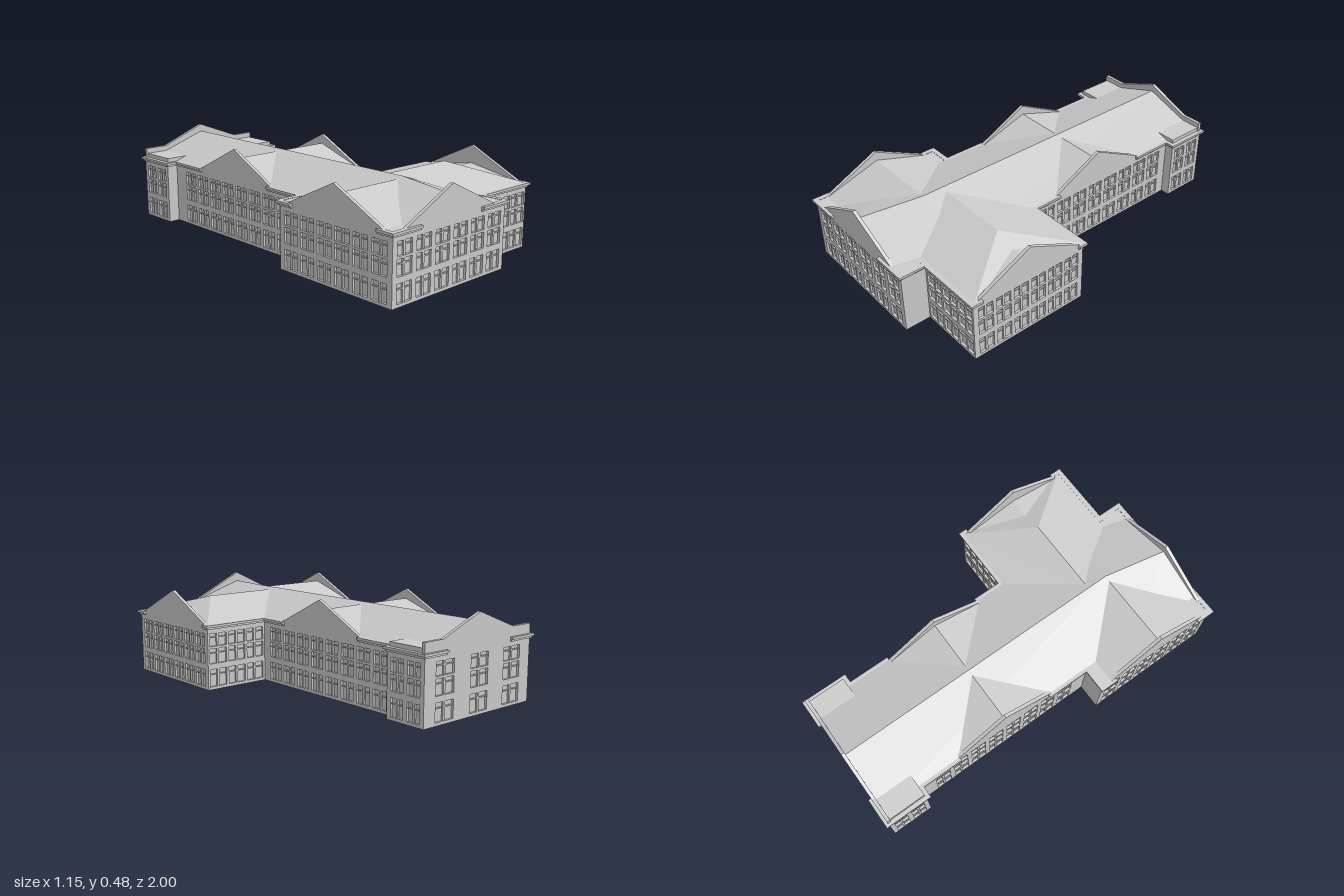
import * as THREE from 'three';
import { mergeGeometries } from 'three/addons/utils/BufferGeometryUtils.js';

const EAVE = 0.335, RIDGE = 0.43, MID = -0.115, DEPTH = 0.012;
const ROWS = [[0.015, 0.105], [0.135, 0.212], [0.224, 0.29]];
const material = new THREE.MeshStandardMaterial({ color: 0xcccccc, flatShading: true, side: THREE.DoubleSide });

const gable = (mid, half) => [[mid - half, EAVE], [mid, 0.48], [mid + half, EAVE]];

// Outline, anticlockwise from above. Each side runs from its own corner to the next one.
// cols/pitch/width: window columns; gap: break in the cornice; top: outline of the parapet gable
const SIDES = [
  { name: 'frontWall', x: -0.56, z: 0.984, cols: 6, pitch: 0.122, width: 0.093, gap: [0.17, 0.585], top: gable(0.38, 0.3) },
  { name: 'frontReturn', x: 0.2, z: 0.984 },
  { name: 'wingFrontWall', x: 0.2, z: 0.85, cols: 3, pitch: 0.117, width: 0.103 },
  { name: 'wingEndWall', x: 0.56, z: 0.85, cols: 6, pitch: 0.102, width: 0.082, gap: [0.05, 0.62], top: gable(0.33, 0.3) },
  { name: 'wingBackWall', x: 0.56, z: 0.2, cols: 3, pitch: 0.117, width: 0.103 },
  { name: 'leftSpineWall', x: 0.2, z: 0.2, cols: 8, pitch: 0.11, width: 0.085, gap: [0.17, 0.72], top: gable(0.44, 0.29) },
  { name: 'leftRearReturn', x: 0.2, z: -0.76 },
  { name: 'leftRearWall', x: 0.25, z: -0.76, cols: 2, pitch: 0.1, width: 0.075 },
  { name: 'backWall', x: 0.25, z: -0.984, cols: 3, pitch: 0.235, width: 0.12, gap: [0.14, 0.59],
    top: [[0, EAVE], [0, 0.385], [0.12, 0.385], [0.365, 0.48], [0.61, 0.385], [0.74, 0.385], [0.74, EAVE]] },
  { name: 'rightRearWall', x: -0.49, z: -0.984, cols: 2, pitch: 0.1, width: 0.075 },
  { name: 'rightRearReturn', x: -0.49, z: -0.76 },
  { name: 'rightSpineWall', x: -0.43, z: -0.76, cols: 8, pitch: 0.11, width: 0.085, gap: [0.24, 0.79], top: gable(0.52, 0.29) },
  { name: 'rightBlockReturn', x: -0.43, z: 0.275 },
  { name: 'rightBlockWall', x: -0.56, z: 0.275, cols: 6, pitch: 0.112, width: 0.088, gap: [0.085, 0.625], top: gable(0.355, 0.3) },
];

function add(parent, name, geometry) {
  const mesh = new THREE.Mesh(geometry, material);
  mesh.name = name;
  parent.add(mesh);
  return mesh;
}

// Box given by its limits
function box(x0, x1, y0, y1, z0, z1) {
  return new THREE.BoxGeometry(x1 - x0, y1 - y0, z1 - z0)
    .translate((x0 + x1) / 2, (y0 + y1) / 2, (z0 + z1) / 2);
}

function outline(points) {
  return new THREE.Shape(points.map(([x, y]) => new THREE.Vector2(x, y)));
}

// Flat polygons, each cut into a fan of triangles
function faces(polygons) {
  const positions = [];
  for (const p of polygons) {
    for (let i = 1; i < p.length - 1; i++) positions.push(...p[0], ...p[i], ...p[i + 1]);
  }
  const geometry = new THREE.BufferGeometry();
  geometry.setAttribute('position', new THREE.Float32BufferAttribute(positions, 3));
  geometry.computeVertexNormals();
  return geometry;
}

// Two slopes lofted between cross-sections of [eave, ridge, eave] points
function slopes(a, b) {
  return faces([[a[0], b[0], b[1], a[1]], [a[1], b[1], b[2], a[2]]]);
}

// Cross-section of a roof running along x or along z
const sectionX = (x, z, half, ridge = RIDGE) => [[x, EAVE, z + half], [x, ridge, z], [x, EAVE, z - half]];
const sectionZ = (z, x0, x, x1, ridge) => [[x0, EAVE, z], [x, ridge, z], [x1, EAVE, z]];

// One side: wall with recessed windows, cornice and parapet gable, built along local x facing +z
function buildSide(side, next) {
  const group = new THREE.Group();
  group.name = side.name;
  const dx = next.x - side.x, dz = next.z - side.z, length = Math.hypot(dx, dz);
  group.position.set(side.x, 0, side.z);
  group.rotation.y = Math.atan2(-dz, dx);

  const wall = outline([[0, 0], [length, 0], [length, EAVE], [0, EAVE]]);
  const bars = [];
  for (let c = 0; c < (side.cols || 0); c++) {
    const mid = length / 2 + (c - (side.cols - 1) / 2) * side.pitch;
    const x0 = mid - side.width / 2, x1 = mid + side.width / 2;
    for (const [y0, y1] of ROWS) {
      wall.holes.push(new THREE.Path([[x0, y0], [x0, y1], [x1, y1], [x1, y0]].map(([x, y]) => new THREE.Vector2(x, y))));
      const transom = y0 + (y1 - y0) * 0.7;
      bars.push(box(mid - 0.006, mid + 0.006, y0, y1, -DEPTH, -0.003));
      bars.push(box(x0, x1, transom - 0.003, transom + 0.003, -DEPTH, -0.005));
    }
  }
  add(group, 'wall', new THREE.ExtrudeGeometry(wall, { depth: DEPTH, bevelEnabled: false }).translate(0, 0, -DEPTH));
  if (bars.length) {
    add(group, 'windowBars', mergeGeometries(bars));
    add(group, 'windowPanes', new THREE.PlaneGeometry(length - 0.02, EAVE).translate(length / 2, EAVE / 2, -DEPTH));
  }

  // Two-step cornice, broken below a gable
  const out = 0.016;
  const runs = side.gap ? [[-out, side.gap[0]], [side.gap[1], length + out]] : [[-out, length + out]];
  const steps = runs.flatMap(([a, b]) => [
    box(a, b, 0.324, EAVE + 0.001, -0.01, out),
    box(Math.max(a, -0.008), Math.min(b, length + 0.008), 0.314, 0.324, -0.01, 0.008),
  ]);
  add(group, 'cornice', mergeGeometries(steps));

  if (side.top) {
    add(group, 'parapetGable', new THREE.ExtrudeGeometry(outline(side.top), { depth: 0.018, bevelEnabled: false })
      .translate(0, 0, -0.018));
  }
  return group;
}

export function createModel() {
  const model = new THREE.Group();
  model.name = 'building';
  SIDES.forEach((side, i) => model.add(buildSide(side, SIDES[(i + 1) % SIDES.length])));

  // Flat deck at the eaves, also the ceiling
  const deck = new THREE.ShapeGeometry(outline(SIDES.map((s) => [s.x, -s.z])));
  add(model, 'eavesDeck', deck.rotateX(-Math.PI / 2).translate(0, EAVE - 0.001, 0));

  const roof = new THREE.Group();
  roof.name = 'roof';
  model.add(roof);

  // Long spine, then the front part with its ridge turning to the front gable
  const spineEnd = sectionZ(0.63, -0.43, MID, 0.2, 0.44);
  add(roof, 'spineRoof', slopes(sectionZ(-0.975, -0.43, MID, 0.2, 0.44), spineEnd));
  add(roof, 'frontRoof', slopes(spineEnd, sectionZ(0.97, -0.45, -0.18, 0.12, RIDGE)));

  // Cross roofs behind the side gables
  const crossRoofs = [['leftCrossRoof', 0.19, -0.24, 0.29], ['rightCrossRoof', -0.42, -0.24, 0.29], ['rightBlockRoof', -0.55, 0.63, 0.3]];
  for (const [name, x, z, half] of crossRoofs) {
    add(roof, name, slopes(sectionX(x, z, half), sectionX(MID, z, half)));
  }

  // Wing roof with a hipped end and a small saddle behind its gable
  const hip = [0.32, RIDGE, 0.52], near = [0.56, EAVE, 0.84], far = [0.56, EAVE, 0.2];
  add(roof, 'wingRoof', faces([
    [[MID, EAVE, 0.84], near, hip, [MID, RIDGE, 0.52]],
    [[MID, RIDGE, 0.52], hip, far, [MID, EAVE, 0.2]],
    [near, far, hip],
  ]));
  add(roof, 'wingSaddle', faces([-0.3, 0.3].map((d) => [[0.42, 0.386, 0.52], [0.55, 0.386, 0.52], [0.55, EAVE, 0.52 + d]])));

  // Raised flat edges over the rear block
  for (const s of [-1, 1]) {
    add(roof, 'rearFlatRoof', box(-0.06, 0.06, EAVE, 0.357, -0.975, -0.765)).position.x = -0.12 + s * 0.303;
  }
  return model;
}
